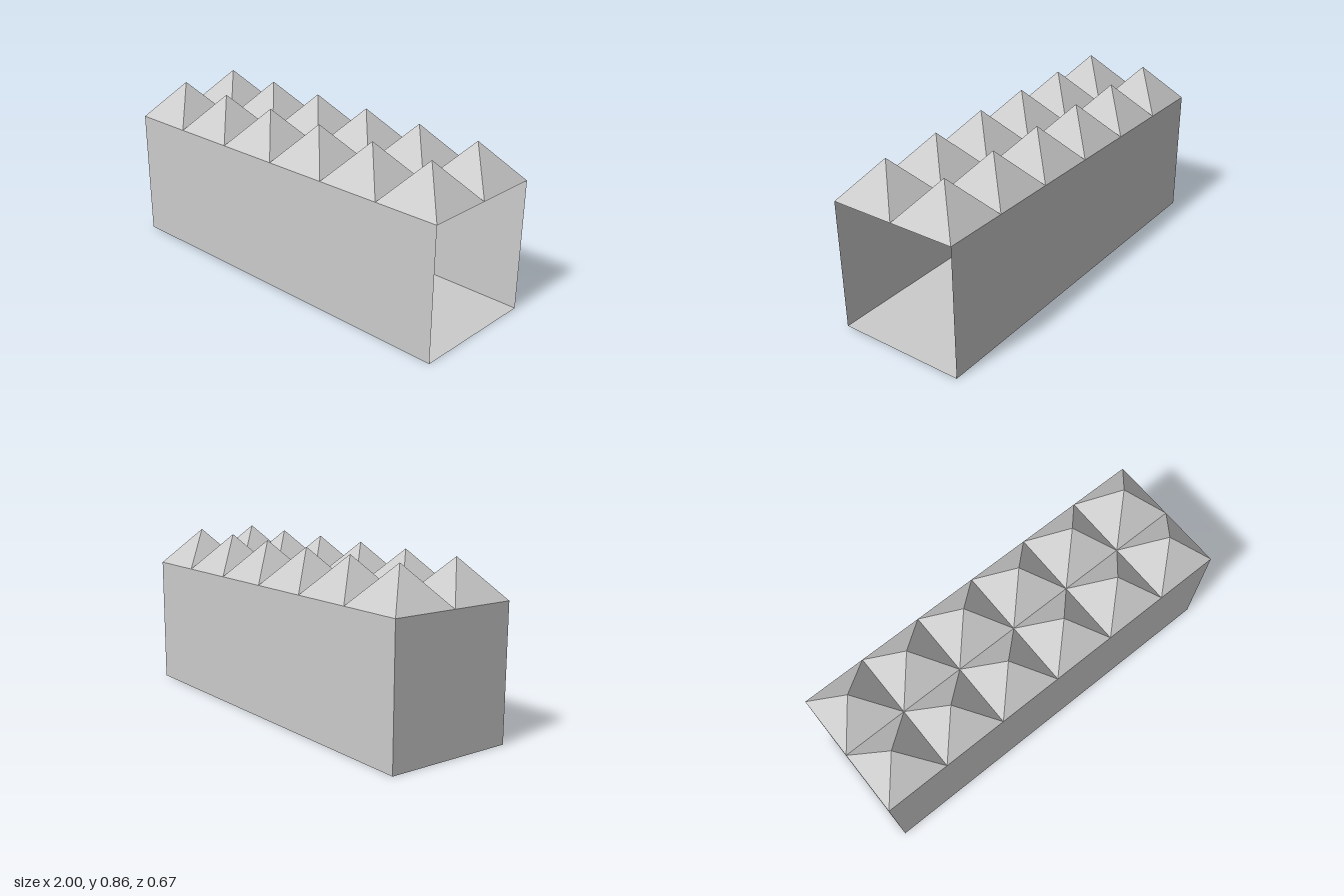
import * as THREE from 'three';

export function createModel() {
  const model = new THREE.Group();
  const material = new THREE.MeshStandardMaterial({
    color: 0xcccccc, flatShading: true, side: THREE.DoubleSide,
  });
  const cell = 1 / 3, columns = 6, rows = 2;
  const bodyHeight = 2 / 3, studHeight = 0.193;

  // Thin-walled hollow body, open at its +x end (the first face of the box)
  const shell = new THREE.BoxGeometry(columns * cell, bodyHeight, rows * cell);
  shell.setIndex(Array.from(shell.index.array).slice(6));
  shell.clearGroups();
  const body = new THREE.Mesh(shell, material);
  body.name = 'openBody';
  body.position.y = bodyHeight / 2;
  model.add(body);

  // Grid of square pyramids covering the top
  const pyramid = new THREE.ConeGeometry(cell / Math.SQRT2, studHeight, 4, 1, true);
  pyramid.rotateY(Math.PI / 4);
  const studs = new THREE.Group();
  studs.name = 'pyramidStuds';
  for (let row = 0; row < rows; row++) {
    for (let col = 0; col < columns; col++) {
      const stud = new THREE.Mesh(pyramid, material);
      stud.name = 'pyramidStud';
      stud.position.set(
        (col - (columns - 1) / 2) * cell,
        bodyHeight + studHeight / 2,
        (row - (rows - 1) / 2) * cell,
      );
      studs.add(stud);
    }
  }
  model.add(studs);
  return model;
}
